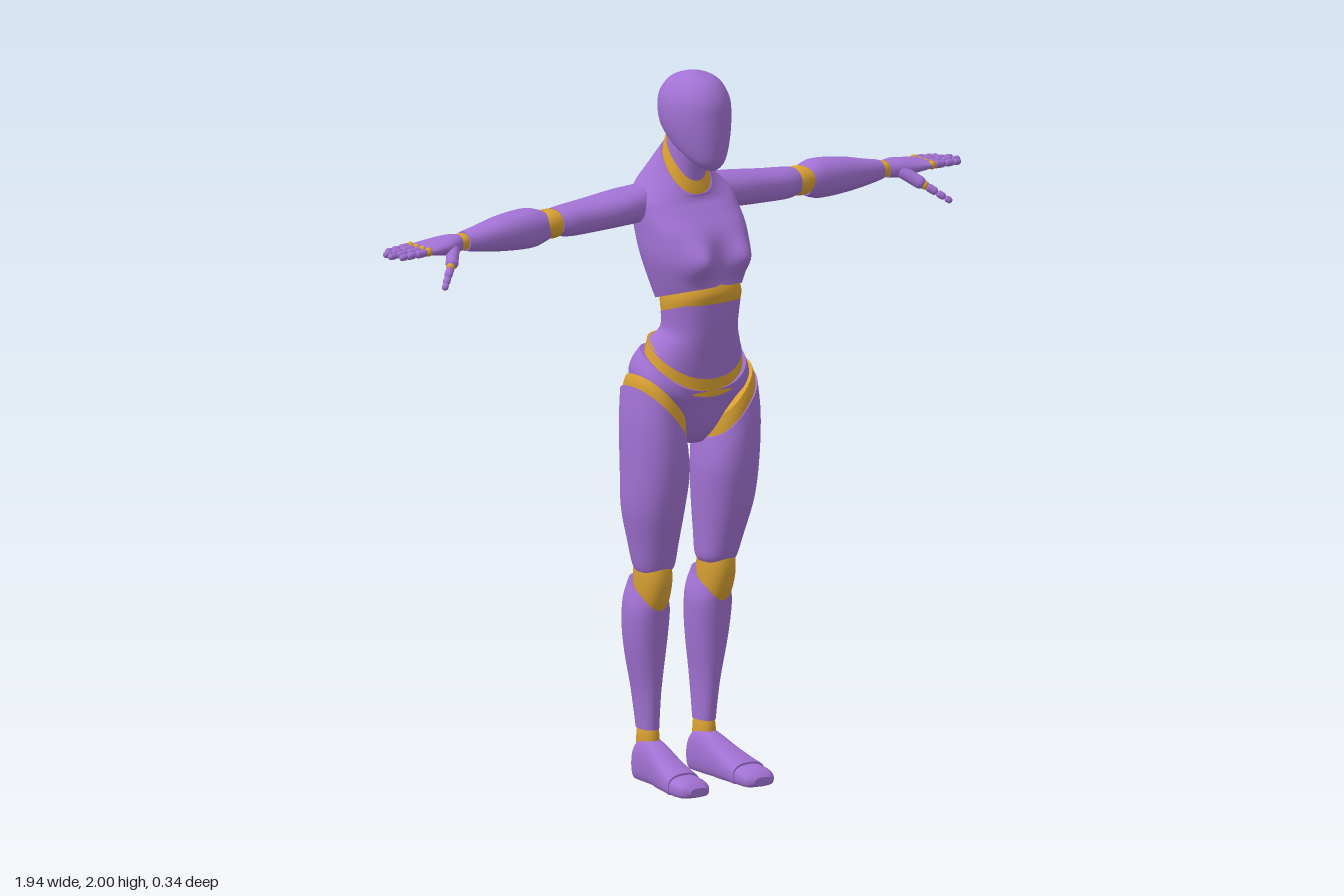
import * as THREE from 'three';

const purple = new THREE.MeshStandardMaterial({ color: 0xa272d4 });
purple.name = 'purple shell';
const gold = new THREE.MeshStandardMaterial({ color: 0xd8a032 });
gold.name = 'gold joint';

// Which world axis the loft runs along; all are even permutations of (u, t, v)
const PLACE = {
  y: (u, t, v) => new THREE.Vector3(u, t, v),
  x: (u, t, v) => new THREE.Vector3(t, v, u),
  z: (u, t, v) => new THREE.Vector3(v, u, t),
};

// Smooth interpolation of section rows
function refine(rows, steps) {
  const out = [];
  const at = (i, k) => rows[Math.min(Math.max(i, 0), rows.length - 1)][k] || 0;
  for (let i = 0; i < rows.length - 1; i++) {
    for (let s = 0; s < steps; s++) {
      const f = s / steps;
      out.push(Array.from({ length: 8 }, (_, k) => {
        const a = at(i - 1, k), b = at(i, k), c = at(i + 1, k), d = at(i + 2, k);
        return b + 0.5 * f * (c - a + f * (2 * a - 5 * b + 4 * c - d + f * (3 * (b - c) + d - a)));
      }));
    }
  }
  out.push(Array.from({ length: 8 }, (_, k) => at(rows.length - 1, k)));
  return out;
}

// Section row: [t, u min, u max, v min, v max, tilt along u, tilt along v, bend by u squared]
function loft(rows, { axis = 'y', square = 0.88, warp = null, n = 36, steps = 6 } = {}) {
  const rings = refine([...rows].sort((a, b) => a[0] - b[0]), steps);
  const pos = [], idx = [];
  const pw = (c) => Math.sign(c) * Math.pow(Math.abs(c), square);
  const put = ([t, u0, u1, v0, v1, tu, tv, bend], cu, cv) => {
    const du = cu * (u1 - u0) / 2, dv = cv * (v1 - v0) / 2;
    const p = PLACE[axis]((u0 + u1) / 2 + du, t + tu * du + tv * dv + bend * du * du, (v0 + v1) / 2 + dv);
    if (warp) warp(p);
    pos.push(p.x, p.y, p.z);
  };
  const ring = (r) => {
    for (let j = 0; j < n; j++) {
      const a = (j / n) * Math.PI * 2;
      put(r, pw(Math.cos(a)), pw(Math.sin(a)));
    }
  };
  rings.forEach(ring);
  for (let i = 0; i < rings.length - 1; i++) {
    for (let j = 0; j < n; j++) {
      const a = i * n + j, b = i * n + (j + 1) % n;
      idx.push(a, a + n, b, b, a + n, b + n);
    }
  }
  // End caps have their own ring so the rim stays crisp
  [rings[0], rings[rings.length - 1]].forEach((r, end) => {
    const base = pos.length / 3;
    ring(r);
    put(r, 0, 0);
    for (let j = 0; j < n; j++) {
      const a = base + j, b = base + (j + 1) % n;
      idx.push(base + n, end ? b : a, end ? a : b);
    }
  });
  const g = new THREE.BufferGeometry();
  g.setAttribute('position', new THREE.Float32BufferAttribute(pos, 3));
  g.setIndex(idx);
  g.computeVertexNormals();
  return g;
}

// Rounded finger segment between two points
function rod(a, b, r) {
  const d = b.clone().sub(a);
  const g = new THREE.CapsuleGeometry(r, d.length(), 4, 12);
  g.applyQuaternion(new THREE.Quaternion().setFromUnitVectors(new THREE.Vector3(0, 1, 0), d.normalize()));
  return g.translate((a.x + b.x) / 2, (a.y + b.y) / 2, (a.z + b.z) / 2);
}

function mirrored(g) {
  const m = g.clone().scale(-1, 1, 1), ix = m.index;
  for (let i = 0; i < ix.count; i += 3) {
    const a = ix.getX(i);
    ix.setX(i, ix.getX(i + 1));
    ix.setX(i + 1, a);
  }
  return m;
}

export function createModel() {
  const model = new THREE.Group();
  model.name = 'mannequin';
  const add = (name, mat, g) => {
    const m = new THREE.Mesh(g, mat);
    m.name = name;
    model.add(m);
  };
  const pair = (name, mat, g) => {
    add(name + 'Left', mat, g);
    add(name + 'Right', mat, mirrored(g));
  };

  // Head and neck
  add('head', purple, loft([
    [1.755, -.035, .035, -.01, .085, 0, -.45], [1.785, -.062, .062, -.075, .105, 0, -.3],
    [1.83, -.08, .08, -.108, .113, 0, -.1], [1.88, -.089, .089, -.12, .112],
    [1.93, -.086, .086, -.118, .105], [1.97, -.067, .067, -.09, .08],
    [1.99, -.042, .042, -.055, .045], [2, -.008, .008, -.01, .006]], { square: 0.95 }));
  add('neck', purple, loft([
    [1.73, -.052, .052, -.1, .01, 0, -1.1], [1.765, -.052, .052, -.098, .015, 0, -.7],
    [1.81, -.05, .05, -.09, .03]]));
  add('collar', gold, loft([
    [1.71, -.066, .066, -.105, .02, 0, -1.1], [1.732, -.064, .064, -.103, .018, 0, -1.1],
    [1.765, -.054, .054, -.098, .008, 0, -1.1]]));

  // Torso
  const bust = (p) => {
    const w = Math.min(1, Math.max(0, p.z / 0.05));
    p.z += 0.045 * w * Math.exp(-(((Math.abs(p.x) - 0.07) / 0.045) ** 2) - ((p.y - 1.495) / 0.05) ** 2);
  };
  add('chest', purple, loft([
    [1.385, -.112, .112, -.09, .118, 0, .3], [1.42, -.125, .125, -.105, .115, 0, .15],
    [1.49, -.145, .145, -.13, .113], [1.56, -.15, .15, -.152, .1],
    [1.62, -.15, .15, -.16, .055, 0, -.1], [1.66, -.142, .142, -.15, .03, 0, -.3],
    [1.695, -.1, .1, -.13, .022, 0, -.65], [1.725, -.066, .066, -.105, .02, 0, -1.1]],
  { square: 0.75, warp: bust, n: 72 }));
  add('waistJoint', gold, loft([
    [1.33, -.106, .106, -.07, .118, 0, .3], [1.365, -.111, .111, -.077, .126, 0, .3],
    [1.395, -.109, .109, -.082, .116, 0, .3]]));
  add('abdomen', purple, loft([
    [1.348, -.11, .11, -.074, .122, 0, .3], [1.29, -.106, .106, -.078, .112],
    [1.245, -.122, .122, -.085, .1, 0, -.25, .8], [1.2, -.142, .142, -.098, .086, 0, -.55, 1.5]]));
  add('hipJoint', gold, loft([
    [1.15, -.152, .152, -.103, .084, 0, -.55, 1.5], [1.21, -.139, .139, -.097, .08, 0, -.55, 1.5]]));
  add('pelvis', purple, loft([
    [1.168, -.155, .155, -.108, .083, 0, -.55, 1.5], [1.135, -.174, .174, -.14, .078, 0, -.35, .6],
    [1.09, -.142, .142, -.168, .071, 0, -.1], [1.04, -.1, .1, -.16, .06],
    [.99, -.06, .06, -.12, .04], [.955, -.03, .03, -.07, .01]], { square: 0.75, n: 48 }));

  // Legs
  pair('thighJoint', gold, loft([
    [1.02, .046, .19, -.13, .072, 1.15], [1.06, .046, .188, -.132, .072, 1.15],
    [1.088, .048, .18, -.128, .068, 1.15]]));
  pair('thigh', purple, loft([
    [1.045, .044, .196, -.138, .076, 1.15], [.97, .038, .205, -.134, .081, .7],
    [.88, .035, .203, -.132, .077, .2], [.78, .04, .197, -.13, .058],
    [.68, .048, .175, -.12, .03], [.62, .052, .161, -.111, .012], [.6, .06, .153, -.1, 0]]));
  pair('knee', gold, loft([
    [.48, .075, .138, -.1, -.022], [.52, .066, .148, -.11, -.002], [.57, .063, .152, -.115, .011],
    [.61, .064, .151, -.112, .009], [.635, .072, .142, -.1, 0]]));
  pair('shin', purple, loft([
    [.545, .06, .152, -.135, -.012, 0, -.5], [.5, .046, .165, -.15, -.018, 0, -.3],
    [.44, .046, .165, -.156, -.022], [.36, .053, .155, -.153, -.031],
    [.25, .067, .132, -.145, -.042], [.145, .071, .121, -.131, -.052]]));
  pair('ankle', gold, loft([
    [.1, .07, .12, -.13, -.05], [.13, .071, .12, -.129, -.051], [.155, .074, .117, -.125, -.056]]));
  const sole = (p) => { p.y = Math.max(0, p.y); };
  pair('foot', purple, loft([
    [-.14, .012, .06, .075, .112], [-.126, -.012, .1, .062, .125], [-.09, -.015, .124, .058, .131],
    [-.04, -.015, .112, .056, .136], [.03, -.015, .08, .056, .152], [.096, -.015, .055, .056, .165]],
  { axis: 'z', square: 0.8, warp: sole }));
  pair('toes', purple, loft([
    [.09, -.012, .05, .059, .162], [.125, -.012, .046, .059, .162], [.15, -.01, .038, .064, .156],
    [.166, .004, .026, .08, .138]], { axis: 'z', square: 0.8, warp: sole }));

  // Arms
  const arm = { axis: 'x', n: 28 };
  pair('upperArm', purple, loft([
    [.13, -.15, -.03, 1.578, 1.68], [.2, -.162, -.026, 1.575, 1.673], [.3, -.16, -.038, 1.57, 1.661],
    [.37, -.154, -.045, 1.569, 1.655], [.405, -.149, -.055, 1.575, 1.65]], arm));
  pair('elbow', gold, loft([
    [.38, -.14, -.062, 1.58, 1.642], [.425, -.153, -.056, 1.569, 1.65], [.47, -.14, -.062, 1.58, 1.642]], arm));
  pair('forearm', purple, loft([
    [.443, -.156, -.06, 1.565, 1.648], [.49, -.169, -.055, 1.551, 1.66], [.58, -.165, -.058, 1.555, 1.652],
    [.66, -.152, -.069, 1.565, 1.635], [.705, -.144, -.08, 1.572, 1.626]], arm));
  pair('wrist', gold, loft([
    [.695, -.138, -.086, 1.577, 1.621], [.718, -.14, -.084, 1.575, 1.622], [.74, -.136, -.088, 1.58, 1.617]], arm));
  pair('palm', purple, loft([
    [.727, -.14, -.084, 1.574, 1.622], [.76, -.155, -.07, 1.57, 1.623], [.81, -.165, -.061, 1.577, 1.616],
    [.855, -.165, -.06, 1.584, 1.609]], arm));

  // Fingers: small gold knuckle, then three segments
  const digit = (name, from, to, r) => {
    pair(name + 'Knuckle', gold, new THREE.SphereGeometry(r * 1.1, 12, 8).translate(from.x, from.y, from.z));
    const stops = [0.06, 0.46, 0.76, 1];
    for (let i = 0; i < 3; i++) {
      const rr = r * (1 - i * 0.1);
      const a = from.clone().lerp(to, stops[i]), b = from.clone().lerp(to, stops[i + 1]);
      const d = b.clone().sub(a).normalize().multiplyScalar(rr * 0.85);
      pair(name + 'Segment' + (i + 1), purple, rod(a.add(d), b.sub(d), rr));
    }
  };
  [[-.155, .938], [-.127, .966], [-.099, .97], [-.071, .952]].forEach(([z, tip], i) =>
    digit('finger' + (i + 1), new THREE.Vector3(.856, 1.598, z), new THREE.Vector3(tip, 1.594, z), 0.0115));
  pair('thumbBase', purple, rod(new THREE.Vector3(.765, 1.588, -.08), new THREE.Vector3(.795, 1.563, -.045), 0.018));
  digit('thumb', new THREE.Vector3(.806, 1.555, -.036), new THREE.Vector3(.862, 1.51, .012), 0.0115);

  return model;
}
